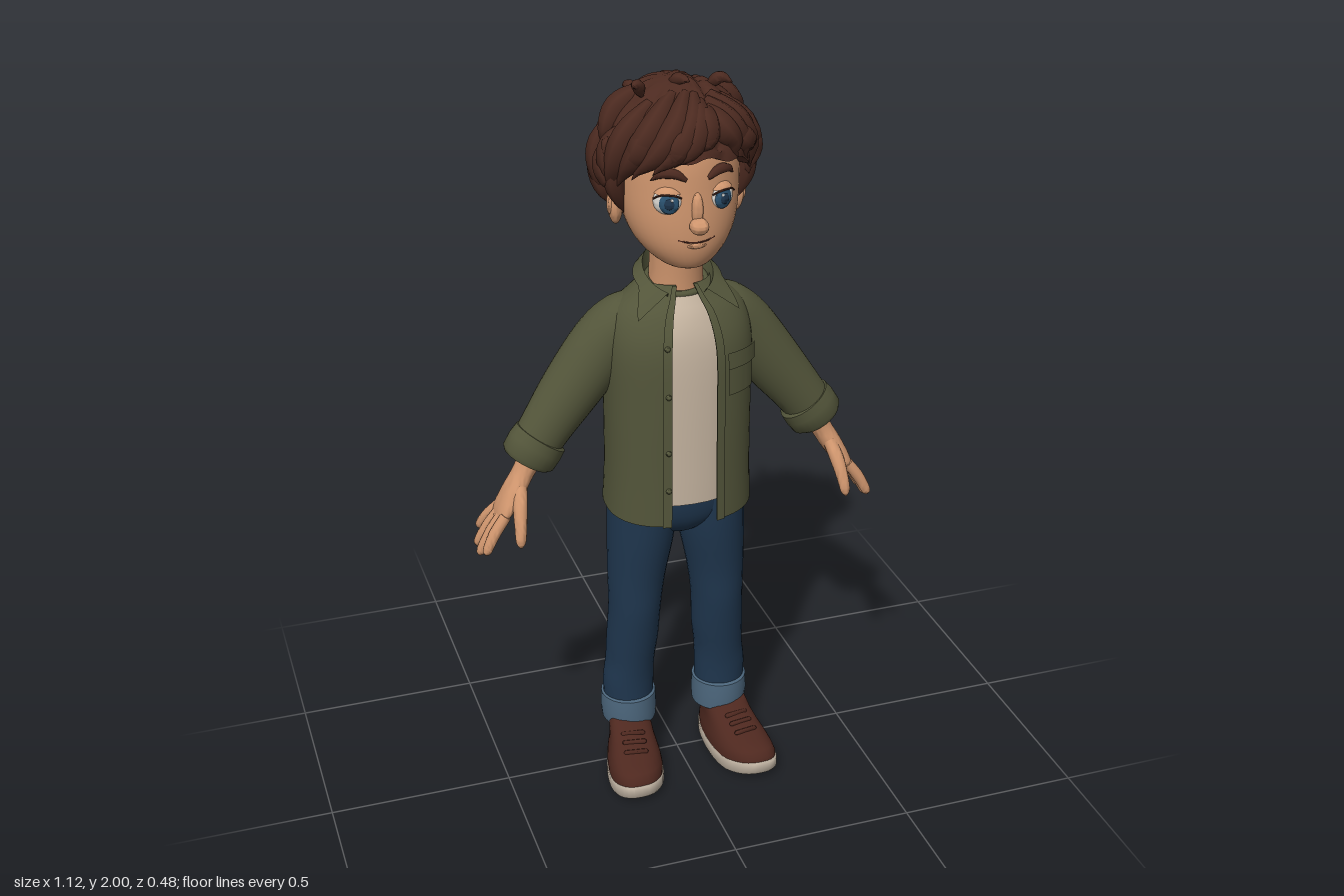
import * as THREE from 'three';
import { toCreasedNormals } from 'three/addons/utils/BufferGeometryUtils.js';

const V = (x, y, z) => new THREE.Vector3(x, y, z);
const spow = (v, p) => Math.sign(v) * Math.abs(v) ** p;

// Skin a stack of rings, each running counter-clockwise around the stacking direction
function loft(rings, closed = true, cap = true) {
  const n = rings[0].length, pos = [], idx = [];
  rings.forEach(r => r.forEach(p => pos.push(p.x, p.y, p.z)));
  for (let i = 0; i < rings.length - 1; i++) {
    for (let j = 0; j < (closed ? n : n - 1); j++) {
      const a = i * n + j, b = i * n + (j + 1) % n;
      idx.push(a, b, b + n, a, b + n, a + n);
    }
  }
  if (closed && cap) [0, rings.length - 1].forEach(i => {
    const c = rings[i].reduce((s, p) => s.add(p), V(0, 0, 0)).divideScalar(n), k = pos.length / 3;
    pos.push(c.x, c.y, c.z);
    for (let j = 0; j < n; j++) {
      const a = i * n + j, b = i * n + (j + 1) % n;
      idx.push(k, ...(i ? [a, b] : [b, a]));
    }
  });
  const g = new THREE.BufferGeometry();
  g.setAttribute('position', new THREE.Float32BufferAttribute(pos, 3));
  g.setIndex(idx);
  g.computeVertexNormals();
  return g;
}

// Smooth body along stations [x, y, z, radiusX, radiusZ, squareness]; from/to leave it open
function limb(st, { n = 28, k = 4, flat = false, from = 0, to = Math.PI * 2 } = {}) {
  const path = new THREE.CatmullRomCurve3(st.map(s => V(s[0], s[1], s[2])), false, 'catmullrom');
  const size = new THREE.CatmullRomCurve3(st.map(s => V(s[3], s[4], s[5] ?? 1)), false, 'catmullrom');
  const closed = to - from > 6.28, m = (st.length - 1) * k, rings = [];
  for (let i = 0; i <= m; i++) {
    const c = path.getPoint(i / m), r = size.getPoint(i / m);
    const t = flat ? V(0, 1, 0) : path.getTangent(i / m);
    const v = t.clone().cross(V(0, 0, 1)).normalize(), u = v.clone().cross(t), ring = [];
    for (let j = 0; j < (closed ? n : n + 1); j++) {
      const a = from + (to - from) * j / n;
      ring.push(c.clone().addScaledVector(u, r.y * spow(Math.cos(a), r.z))
        .addScaledVector(v, r.x * spow(Math.sin(a), r.z)));
    }
    rings.push(ring);
  }
  return loft(rings, closed);
}

// Tube that narrows to a point
function strand(pts, r) {
  const curve = new THREE.CatmullRomCurve3(pts), m = 12;
  const g = new THREE.TubeGeometry(curve, m, r, 7), p = g.attributes.position;
  for (let i = 0; i < p.count; i++) {
    const u = Math.floor(i / 8) / m, c = curve.getPointAt(u);
    const q = V().fromBufferAttribute(p, i).sub(c).multiplyScalar(Math.sin(Math.PI * (0.12 + 0.88 * u)) + 0.01).add(c);
    p.setXYZ(i, q.x, q.y, q.z);
  }
  g.computeVertexNormals();
  return g;
}
const tube = (pts, r) => new THREE.TubeGeometry(new THREE.CatmullRomCurve3(pts), 16, r, 7);
const blob = (x, y, z, a, b, c, theta = Math.PI) =>
  new THREE.SphereGeometry(1, 28, 18, 0, Math.PI * 2, 0, theta).scale(a, b, c).translate(x, y, z);

function bend(g, rule) {
  const p = g.attributes.position;
  for (let i = 0; i < p.count; i++) p.setY(i, rule(p.getY(i), p.getZ(i)));
  g.computeVertexNormals();
  return g;
}
function mirrored(g) {
  const m = g.clone().scale(-1, 1, 1), a = m.index.array;
  for (let i = 0; i < a.length; i += 3) [a[i], a[i + 1]] = [a[i + 1], a[i]];
  return m;
}

export function createModel() {
  const model = new THREE.Group();
  const mat = (name, color, side = THREE.FrontSide) => Object.assign(new THREE.MeshStandardMaterial({ color, side }), { name });
  const skin = mat('skin', 0xd0966e), hair = mat('hair brown', 0x4c2a20, THREE.DoubleSide);
  const olive = mat('olive cloth', 0x53553a, THREE.DoubleSide), cream = mat('cream cloth', 0xc5b4a0);
  const denim = mat('denim', 0x1f364e), paleDenim = mat('pale denim', 0x4c667c);
  const leather = mat('leather', 0x4e281f), rubber = mat('rubber', 0xb9ac9c);
  const white = mat('eye white', 0xdcd8d2), blue = mat('iris blue', 0x2b5270);
  const add = (name, g, m) => {
    const mesh = new THREE.Mesh(toCreasedNormals(g, 0.95), m);
    mesh.name = name;
    model.add(mesh);
  };
  const pair = (name, g, m) => { add(name + 'Left', g, m); add(name + 'Right', mirrored(g), m); };

  // Head, neck and face
  add('head', limb([[0, 1.52, .075, .02, .03], [0, 1.535, .06, .065, .075], [0, 1.58, .037, .113, .118], [0, 1.64, .02, .142, .14],
    [0, 1.72, 0, .155, .157], [0, 1.82, -.015, .155, .163], [0, 1.9, -.02, .12, .13], [0, 1.95, -.02, .05, .05]], { flat: true, n: 40 }), skin);
  add('neck', limb([[0, 1.36, -.02, .08, .08], [0, 1.46, -.012, .07, .072], [0, 1.6, 0, .07, .075]], { flat: true }), skin);
  add('noseTip', blob(0, 1.653, .172, .024, .021, .027), skin);
  add('noseBridge', blob(0, 1.69, .155, .015, .045, .018), skin);
  add('lowerLip', blob(0, 1.598, .152, .026, .009, .01), skin);
  add('mouth', tube([-.047, -.025, 0, .025, .047].map(x => V(x, 1.607 + 3.5 * x * x, .026 + Math.sqrt(.0172 - x * x))), .0028), leather);
  pair('ear', blob(0, 0, 0, .02, .055, .035).rotateY(.35).rotateX(-.15).translate(.157, 1.67, -.02), skin);
  pair('innerEar', blob(0, 0, 0, .01, .03, .018).rotateY(.35).translate(.172, 1.672, -.008), skin);
  const faceZ = x => .157 * Math.sqrt(1 - (x / .155) ** 2);
  pair('eyebrow', strand([[.028, 1.768], [.055, 1.784], [.085, 1.782], [.108, 1.762]].map(([x, y]) => V(x, y, faceZ(x) + .002)), .013), hair);
  const inSocket = g => g.rotateY(.38).translate(.067, 1.713, .13);
  pair('eyeball', inSocket(blob(0, 0, 0, .037, .036, .024)), white);
  pair('iris', inSocket(blob(-.004, -.002, .0175, .025, .027, .0095)), blue);
  pair('pupil', inSocket(blob(-.005, -.002, .0245, .013, .014, .0045)), denim);
  pair('glint', inSocket(blob(-.012, .009, .0262, .004, .004, .003)), white);
  pair('eyelid', inSocket(blob(0, 0, 0, .04, .039, .029, 1.02)), skin);
  pair('lashes', inSocket(tube([[-.034, .01, .012], [-.018, .02, .024], [0, .022, .027], [.018, .02, .024], [.035, .009, .013]].map(p => V(...p)), .0025)), hair);

  // Hair cap with ridged locks and a parting
  const onHair = (a, c, s = 1) => {
    const r = Math.sqrt(Math.max(0, 1 - c * c)) * s;
    return V(.186 * r * Math.sin(a), 1.79 + (c > 0 ? .193 : .26) * c * s, -.02 + .197 * r * Math.cos(a));
  };
  const hairEnd = a => -.3 + .5 * Math.cos(a) - .05 * Math.cos(a) ** 2;
  const rings = [];
  for (let i = 0; i <= 30; i++) {
    const ring = [];
    for (let j = 0; j < 120; j++) {
      const a = j / 120 * Math.PI * 2, th = .04 + (Math.acos(hairEnd(a) + .03 * Math.sin(11 * a)) - .04) * Math.min(1, i / 29);
      const p = onHair(a, Math.cos(th));
      let s = 1 + Math.sin(th) * (.04 * Math.abs(Math.sin(6 * a + 3 * th)) + .015 * Math.sin(13 * a - 6 * th) - .02);
      if (p.y > 1.84 && p.z > -.17) s -= .06 * Math.exp(-(((p.x - .055) / .014) ** 2));
      ring.push(onHair(a, Math.cos(th), i === 30 ? .8 : s));
    }
    rings.unshift(ring);
  }
  add('hairCap', loft(rings), hair);
  // Locks run over the cap from [angle, height] to [angle, height]
  const locks = [[.3, .75, -.02, .24], [.27, .82, -.35, .08], [.22, .88, -.62, -.02], [0, .9, -.92, -.1], [-.4, .9, -1.2, -.22],
    [-.9, .8, -1.45, -.38], [.33, .75, .62, .1], [.45, .82, .9, 0], [.7, .86, 1.15, -.15], [1, .8, 1.42, -.38],
    [-.1, .55, -.5, .12], [-.6, .6, -1.05, -.02], [.6, .5, 1.05, .05], [-1.6, .9, -1.6, .1], [1.7, .85, 1.8, .1]];
  for (let i = 0; i < 17; i++) {
    const a = 1.3 + i * (Math.PI * 2 - 2.6) / 16;
    locks.push([a, .45 - .25 * (i % 2), a + (i % 2 ? .14 : -.12), hairEnd(a) - .05 - .03 * (i % 3)]);
  }
  locks.forEach(([a, c, b, d], i) => add('hairLock' + (i + 1), strand([0, .35, .7, .92, 1].map((t, q) =>
    onHair(a + (b - a) * t + (q === 2 ? .05 : 0), c + (d - c) * t, [.96, 1, 1.01, .99, 1.02][q])), .034), hair));
  pair('sideburn', strand([onHair(1.2, .1), onHair(1.3, -.2, .98), onHair(1.33, -.55, .96)], .026), hair);
  [[-.1, 1.95, .03, -.14, 1.985, .08], [-.02, 1.965, 0, .01, 1.985, .07], [.08, 1.95, 0, .13, 1.965, .04], [-.05, 1.88, -.18, -.07, 1.9, -.235],
    [-.17, 1.83, .02, -.205, 1.82, .05], [.17, 1.8, .02, .205, 1.79, .04], [.02, 1.8, -.2, .03, 1.8, -.232]].forEach(([x, y, z, X, Y, Z], i) =>
    add('hairTuft' + (i + 1), strand([V(x, y, z), V((x + X) / 2, Math.min(1.985, (y + Y) / 2 + .018), (z + Z) / 2), V(X, Y, Z)], .016), hair));

  // Undershirt
  add('undershirt', limb([[0, .865, 0, .165, .136, .9], [0, 1.15, 0, .17, .135, .9], [0, 1.3, 0, .165, .128, .9],
    [0, 1.38, -.005, .13, .113], [0, 1.435, -.01, .08, .085]], { flat: true }), cream);
  add('neckband', new THREE.TorusGeometry(.076, .01, 8, 32).rotateX(Math.PI / 2 + .2).translate(0, 1.45, -.008), olive);

  // Open jacket
  const body = [[0, .825, -.006, .2, .153, .85], [0, .95, -.002, .195, .149, .85], [0, 1.15, 0, .195, .147, .85], [0, 1.3, .002, .195, .14, .87],
    [0, 1.385, -.005, .175, .12, .95], [0, 1.43, -.012, .125, .097, 1], [0, 1.46, -.015, .088, .078, 1]];
  const grown = d => body.map(([x, y, z, a, b, p]) => [x, y, z, a + d, b + d, p]);
  const hem = g => bend(g, (y, z) => y - z * .1 * Math.min(1, Math.max(0, (1 - y) / .18)));
  add('jacketBody', hem(limb(body, { flat: true, n: 56, from: .26, to: Math.PI * 2 - .26 })), olive);
  pair('placket', hem(limb(grown(.005), { flat: true, n: 4, from: .25, to: .37 })), olive);
  [.92, 1.03, 1.19, 1.32].forEach((y, i) => add('button' + (i + 1), blob(-.07, y, .146 - (y > 1.3 ? .01 : 0), .008, .008, .006), olive));
  const patch = (y0, y1, d, a, b) => limb([[0, y0, 0, .196 + d, .147 + d, .85], [0, y1, .001, .196 + d, .143 + d, .86]], { flat: true, n: 10, from: a, to: b });
  add('pocket', patch(1.17, 1.27, .006, .42, 1.02), olive);
  add('pocketFlap', patch(1.245, 1.29, .011, .39, 1.05), olive);

  // Folded collar: inner stand, crease, outer edge with pointed tips
  const collar = [[], [], []];
  for (let j = 0; j <= 48; j++) {
    const a = .6 + (Math.PI * 2 - 1.2) * j / 48, s = Math.sin(a), c = Math.cos(a), f = Math.max(0, (c - .2) / .625) ** 1.5;
    collar[0].push(V((.115 * s) + Math.sign(s) * .07 * f, 1.465 - .03 * c - .05 * f, .003 + .115 * c));
    collar[1].push(V(.09 * s, 1.487 - .043 * c, .006 + .096 * c));
    collar[2].push(V(.082 * s, 1.44 - .02 * c, -.006 + .08 * c));
  }
  add('collar', loft(collar, false), olive);

  // Sleeves and rolled cuffs
  pair('sleeve', limb([[.1, 1.385, -.02, .05, .06], [.14, 1.345, -.028, .075, .078], [.195, 1.28, -.033, .086, .08], [.28, 1.17, -.032, .08, .076],
    [.35, 1.08, -.022, .07, .064], [.4, 1.01, -.015, .064, .057]]), olive);
  pair('sleeveCuff', limb([[.366, 1.053, -.018, .064, .056], [.368, 1.05, -.018, .075, .064], [.385, 1.027, -.017, .078, .066],
    [.405, .998, -.015, .076, .064], [.41, .99, -.015, .066, .057]], { k: 1 }), olive);

  // Hands
  pair('palm', limb([[.385, 1.02, -.015, .036, .038], [.42, .96, -.012, .029, .034], [.45, .91, -.008, .028, .046],
    [.478, .866, -.006, .022, .053], [.495, .84, -.006, .013, .046]]), skin);
  [[.036, .047, .543, .76], [.012, .008, .553, .742], [-.014, -.036, .55, .748], [-.038, -.08, .533, .778]].forEach(([z, Z, X, Y], i) => {
    const at = (t, r) => [.483 + (X - .483) * t + .006 * Math.sin(t * 3.14), .86 + (Y - .86) * t, z + (Z - z) * t, r, r];
    pair('finger' + (i + 1), limb([at(0, .015), at(.4, .0155), at(.75, .014), at(.93, .011), at(1, .003)], { n: 12 }), skin);
  });
  pair('thumb', limb([[.436, .925, .015, .018, .02], [.446, .885, .048, .019, .02], [.453, .84, .075, .016, .016],
    [.457, .805, .088, .013, .013], [.458, .79, .092, .003, .003]], { n: 14 }), skin);

  // Jeans and turn-ups
  add('jeansSeat', limb([[0, .725, -.015, .015, .04], [0, .755, -.014, .1, .085], [0, .81, -.012, .18, .112], [0, .92, -.01, .18, .12]], { flat: true }), denim);
  pair('jeansLeg', limb([[.135, .14, -.03, .068, .068], [.136, .25, -.028, .072, .067], [.131, .32, -.026, .069, .071], [.125, .4, -.02, .072, .077],
    [.12, .5, -.012, .072, .083], [.114, .6, -.012, .079, .089], [.1, .74, -.013, .092, .106], [.095, .88, -.012, .094, .112]], { flat: true }), denim);
  pair('turnUp', limb([[.135, .128, -.03, .066, .066], [.135, .128, -.03, .076, .079], [.136, .165, -.03, .079, .081],
    [.136, .208, -.03, .077, .078], [.136, .212, -.03, .068, .066]], { k: 1, flat: true }), paleDenim);

  // Shoes: rings [height, heel z, toe z, width], toes turned out and lifted
  const shoe = levels => bend(loft(levels.map(([y, back, front, w]) => Array.from({ length: 40 }, (_, j) => {
    const a = j / 40 * Math.PI * 2, u = (1 + Math.cos(a)) / 2, z = back + (front - back) * u;
    return V(.135 + .15 * (z + .05) + spow(Math.sin(a), .8) * (.062 + .032 * u) * w, y, z);
  }))), (y, z) => y + .22 * Math.max(0, z - .15));
  pair('shoeSole', shoe([[0, -.098, .225, .96], [.008, -.102, .232, 1], [.034, -.102, .232, 1], [.038, -.098, .228, .97]]), rubber);
  pair('shoeUpper', shoe([[.03, -.096, .226, .96], [.05, -.098, .224, .97], [.068, -.096, .208, .93], [.085, -.093, .175, .86],
    [.1, -.092, .135, .8], [.118, -.092, .09, .76], [.135, -.09, .06, .75], [.15, -.088, .045, .7]]), leather);
  [[.135, .104], [.105, .116], [.078, .127]].forEach(([z, y], i) =>
    pair('lace' + (i + 1), new THREE.CapsuleGeometry(.007, .055, 4, 8).rotateZ(Math.PI / 2).rotateY(.15).translate(.135 + .15 * (z + .05), y - .003, z - .006), leather));

  return model;
}
